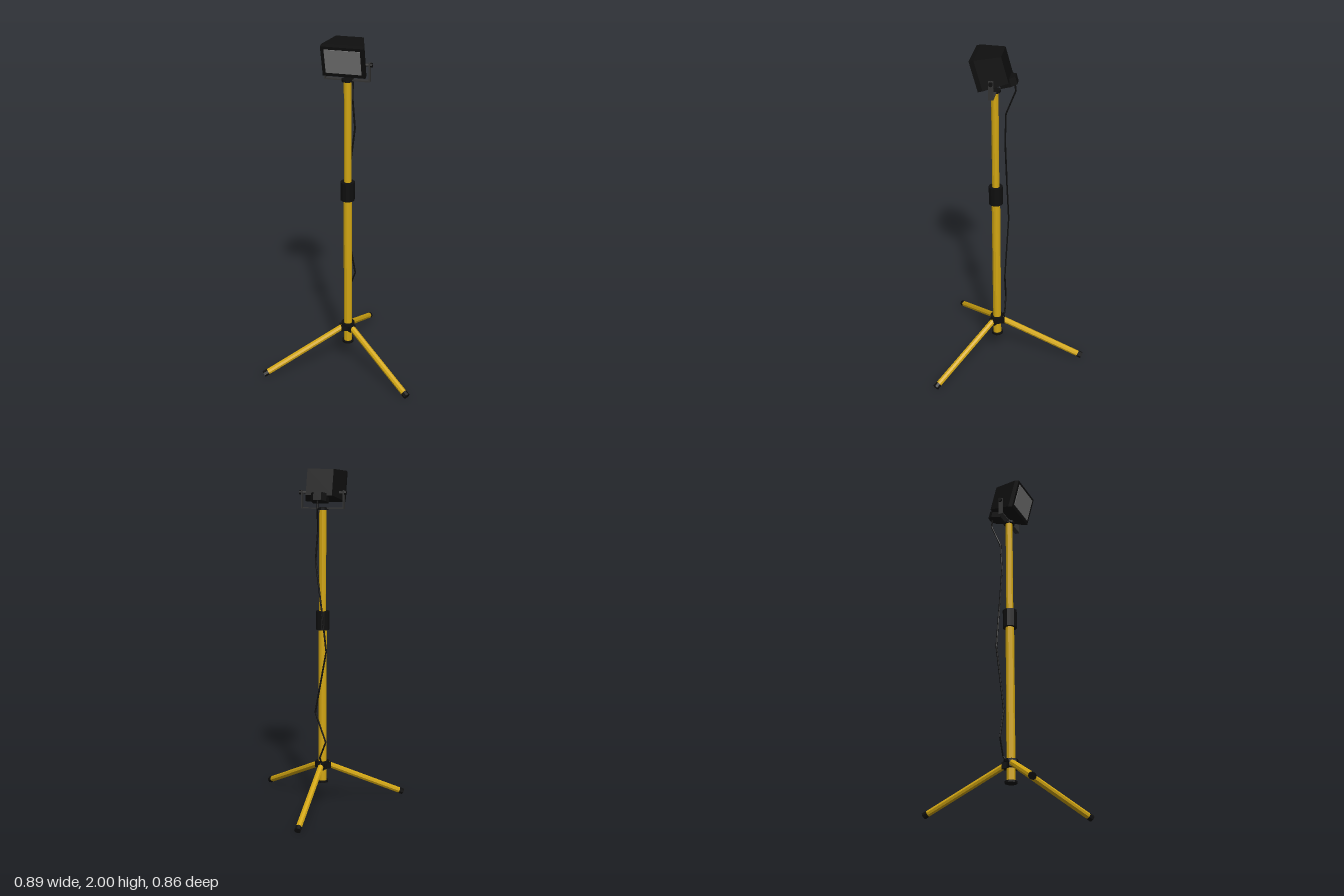
import * as THREE from 'three';

const mat = (name, color) => {
  const m = new THREE.MeshStandardMaterial({ color, flatShading: true });
  m.name = name;
  return m;
};

export function createModel() {
  const yellow = mat('yellow paint', 0xd2a612);
  const black = mat('black plastic', 0x0f0f0f);
  const steel = mat('dark steel', 0x333333);
  const glass = mat('grey glass', 0x787878);

  const model = new THREE.Group();
  model.name = 'workLight';
  const stand = new THREE.Group();
  stand.name = 'stand';
  stand.position.set(-0.004, 0, 0.106);
  model.add(stand);

  const add = (parent, name, geo, material, x = 0, y = 0, z = 0) => {
    const mesh = new THREE.Mesh(geo, material);
    mesh.name = name;
    mesh.position.set(x, y, z);
    parent.add(mesh);
    return mesh;
  };
  // upright cylinder between two heights
  const post = (name, r, y0, y1, material, sides = 12) =>
    add(stand, name, new THREE.CylinderGeometry(r, r, y1 - y0, sides), material, 0, (y0 + y1) / 2, 0);
  // cylinder between two points
  const rod = (parent, name, a, b, r, material, sides = 8) => {
    const dir = b.clone().sub(a);
    const mesh = add(parent, name, new THREE.CylinderGeometry(r, r, dir.length(), sides), material);
    mesh.position.copy(a).addScaledVector(dir, 0.5);
    mesh.quaternion.setFromUnitVectors(new THREE.Vector3(0, 1, 0), dir.normalize());
    return mesh;
  };
  const V = (x, y, z) => new THREE.Vector3(x, y, z);

  // telescopic pole
  post('lowerPole', 0.025, 0.145, 1.1, yellow);
  post('upperPole', 0.021, 1.1, 1.77, yellow);
  post('poleClamp', 0.041, 1.07, 1.18, black);
  post('bottomCap', 0.035, 0.14, 0.152, black);
  post('topCap', 0.034, 1.767, 1.78, black);
  post('hubDisc', 0.041, 0.258, 0.272, black);
  post('hubSleeve', 0.029, 0.222, 0.26, black);

  // three legs with hinges and rubber feet
  const feet = [V(0.432, 0.019, 0.303), V(-0.432, 0.019, 0.303), V(0, 0.019, -0.528)];
  for (const foot of feet) {
    const out = V(foot.x, 0, foot.z).normalize();
    const top = out.clone().multiplyScalar(0.026).setY(0.25);
    const dir = foot.clone().sub(top).normalize();
    rod(stand, 'leg', top, foot.clone().addScaledVector(dir, -0.012), 0.018, yellow);
    rod(stand, 'foot', foot.clone().addScaledVector(dir, -0.028), foot, 0.0195, black);
    const hinge = add(stand, 'legHinge', new THREE.BoxGeometry(0.042, 0.038, 0.03), black);
    hinge.position.copy(out).multiplyScalar(0.032).setY(0.243);
    hinge.rotation.y = Math.atan2(out.x, out.z);
  }

  // U-shaped bracket with knobs
  add(stand, 'bracketBase', new THREE.BoxGeometry(0.254, 0.007, 0.028), steel, 0, 1.776, 0);
  for (const s of [-1, 1]) {
    add(stand, 'bracketArm', new THREE.BoxGeometry(0.007, 0.106, 0.028), steel, s * 0.124, 1.826, 0);
    rod(stand, 'pivotBolt', V(s * 0.09, 1.865, 0), V(s * 0.13, 1.865, 0), 0.008, steel);
    rod(stand, 'knob', V(s * 0.127, 1.865, 0), V(s * 0.139, 1.865, 0), 0.012, black);
  }

  // lamp head, tilted downwards
  const head = new THREE.Group();
  head.name = 'lampHead';
  head.position.set(0, 1.895, 0.094);
  head.rotation.x = 0.262;
  stand.add(head);

  // housing lofted from rectangles: [z, half width, bottom, top]
  const sections = [
    [0, 0.117, -0.0885, 0.0885],
    [-0.026, 0.117, -0.0885, 0.0885],
    [-0.165, 0.077, -0.0885, 0.064],
  ];
  const pos = [], idx = [];
  for (const [z, w, b, t] of sections) pos.push(-w, b, z, w, b, z, w, t, z, -w, t, z);
  for (let i = 0; i < 2; i++) {
    for (let j = 0; j < 4; j++) {
      const a = i * 4 + j, b = i * 4 + (j + 1) % 4;
      idx.push(a, a + 4, b, b, a + 4, b + 4);
    }
  }
  idx.push(0, 1, 2, 0, 2, 3, 8, 10, 9, 8, 11, 10);
  const shell = new THREE.BufferGeometry();
  shell.setAttribute('position', new THREE.Float32BufferAttribute(pos, 3));
  shell.setIndex(idx);
  const housing = shell.toNonIndexed();
  housing.computeVertexNormals();
  add(head, 'housing', housing, black);
  add(head, 'lens', new THREE.BoxGeometry(0.196, 0.139, 0.005), glass, 0, 0.002, 0.001);

  // junction box behind and below the housing
  const plan = new THREE.Shape([[-0.046, 0.107], [0.046, 0.107], [0.046, 0.166], [0.023, 0.197], [-0.023, 0.197], [-0.046, 0.166]]
    .map(([x, y]) => new THREE.Vector2(x, y)));
  const box = new THREE.ExtrudeGeometry(plan, { depth: 0.046, bevelEnabled: false });
  box.rotateX(-Math.PI / 2);
  add(head, 'junctionBox', box, black, 0, -0.122, 0);

  // power cable hanging down the back of the pole
  const cable = new THREE.Group();
  cable.name = 'cable';
  stand.add(cable);
  const path = [
    [0, 1.83, -0.11], [0, 1.78, -0.116], [0.012, 1.645, -0.063], [0.026, 1.48, -0.06],
    [-0.01, 1.2, -0.063], [-0.04, 0.95, -0.068], [0.03, 0.58, -0.054], [-0.033, 0.4, -0.05],
    [0.004, 0.3, -0.048], [0, 0.26, -0.02],
  ].map((p) => V(...p));
  for (let i = 1; i < path.length; i++) rod(cable, 'cableSegment', path[i - 1], path[i], 0.005, black, 6);

  return model;
}
